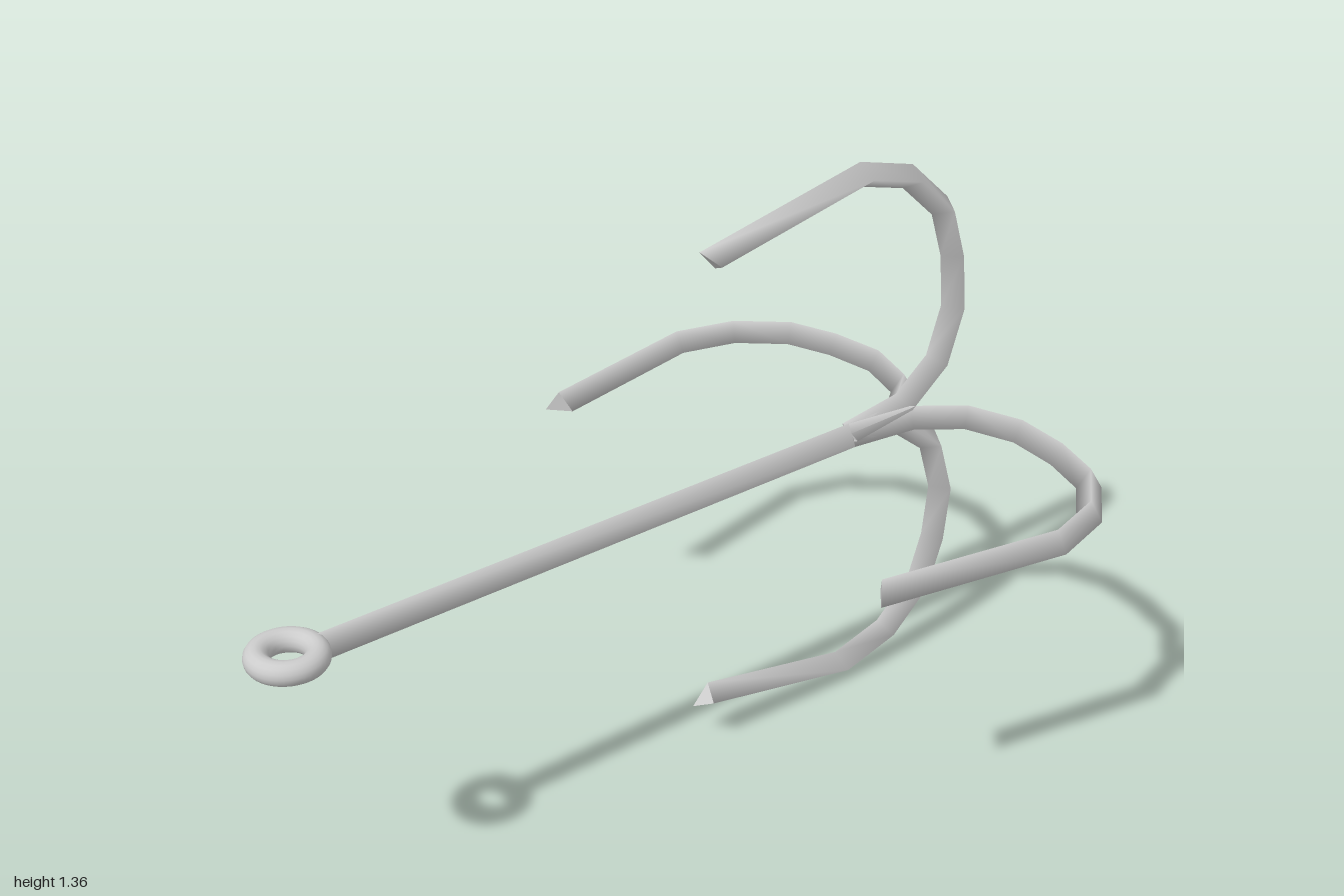
import * as THREE from 'three';

const V = (x, y, z) => new THREE.Vector3(x, y, z);
const R = 0.033;        // radius of the three-sided bar section
const AXIS_Y = 0.687;   // height of the shaft axis

// Sweeps a three-sided bar along points; one ridge of the bar points to `ridge`.
// `outward` makes the last section a slanted cut, longer on that side.
function sweepBar(points, ridge, outward) {
  const last = points.length - 1;
  const rings = points.map((pt, i) => {
    const before = points[Math.max(i - 1, 0)], after = points[Math.min(i + 1, last)];
    const t1 = i > 0 ? pt.clone().sub(before).normalize() : after.clone().sub(pt).normalize();
    const t2 = i < last ? after.clone().sub(pt).normalize() : t1.clone();
    const t = t1.clone().add(t2).normalize();
    const side = t.clone().cross(ridge).divideScalar(t.dot(t1)); // mitred corner
    if (i === last && outward) side.addScaledVector(t, 0.6 * Math.sign(side.dot(outward)));
    return [0, 1, 2].map(k => {
      const a = k * Math.PI * 2 / 3;
      return pt.clone().addScaledVector(ridge, R * Math.cos(a)).addScaledVector(side, R * Math.sin(a));
    });
  });
  const verts = rings.flat();
  const index = [];
  for (let i = 0; i < last; i++) {
    for (let k = 0; k < 3; k++) {
      const a = i * 3 + k, b = i * 3 + (k + 1) % 3;
      index.push(a, b, b + 3, a, b + 3, a + 3);
    }
  }
  // End caps with their own corners, so the cut edges stay sharp
  const n = verts.length;
  verts.push(...rings[0], ...rings[last]);
  index.push(n, n + 2, n + 1, n + 3, n + 4, n + 5);

  const geo = new THREE.BufferGeometry().setFromPoints(verts);
  geo.setIndex(index);
  geo.computeVertexNormals();
  return geo;
}

export function createModel() {
  const group = new THREE.Group();
  const material = new THREE.MeshStandardMaterial({ color: 0xcccccc });
  const add = (name, geo, y, z = 0) => {
    const mesh = new THREE.Mesh(geo, material);
    mesh.name = name;
    mesh.position.set(0, y, z);
    group.add(mesh);
    return mesh;
  };

  // Straight shaft
  add('shaft', sweepBar([V(0, 0, 0.845), V(0, 0, -0.8)], V(0, 1, 0)), AXIS_Y);

  // Rope ring at the front end
  const ring = new THREE.TorusGeometry(0.063, 0.027, 16, 40);
  ring.rotateX(Math.PI / 2);
  add('ropeRing', ring, 0.695, 0.908);

  // Four hooks: [distance from the axis, z] along one bent prong
  const path = [
    [0, -0.635], [0.025, -0.815], [0.11, -0.925], [0.245, -0.97], [0.385, -0.955],
    [0.51, -0.912], [0.61, -0.8], [0.652, -0.645], [0.563, -0.2],
  ];
  const hooks = [
    ['leftHook', V(1, 0, 0), V(0, 1, 0)],
    ['rightHook', V(-1, 0, 0), V(0, 1, 0)],
    ['upperHook', V(0, 1, 0), V(1, 0, 0)],
    ['lowerHook', V(0, -1, 0), V(1, 0, 0)],
  ];
  for (const [name, dir, ridge] of hooks) {
    const pts = path.map(([r, z]) => dir.clone().multiplyScalar(r).setZ(z));
    add(name, sweepBar(pts, ridge, dir), AXIS_Y);
  }
  return group;
}
